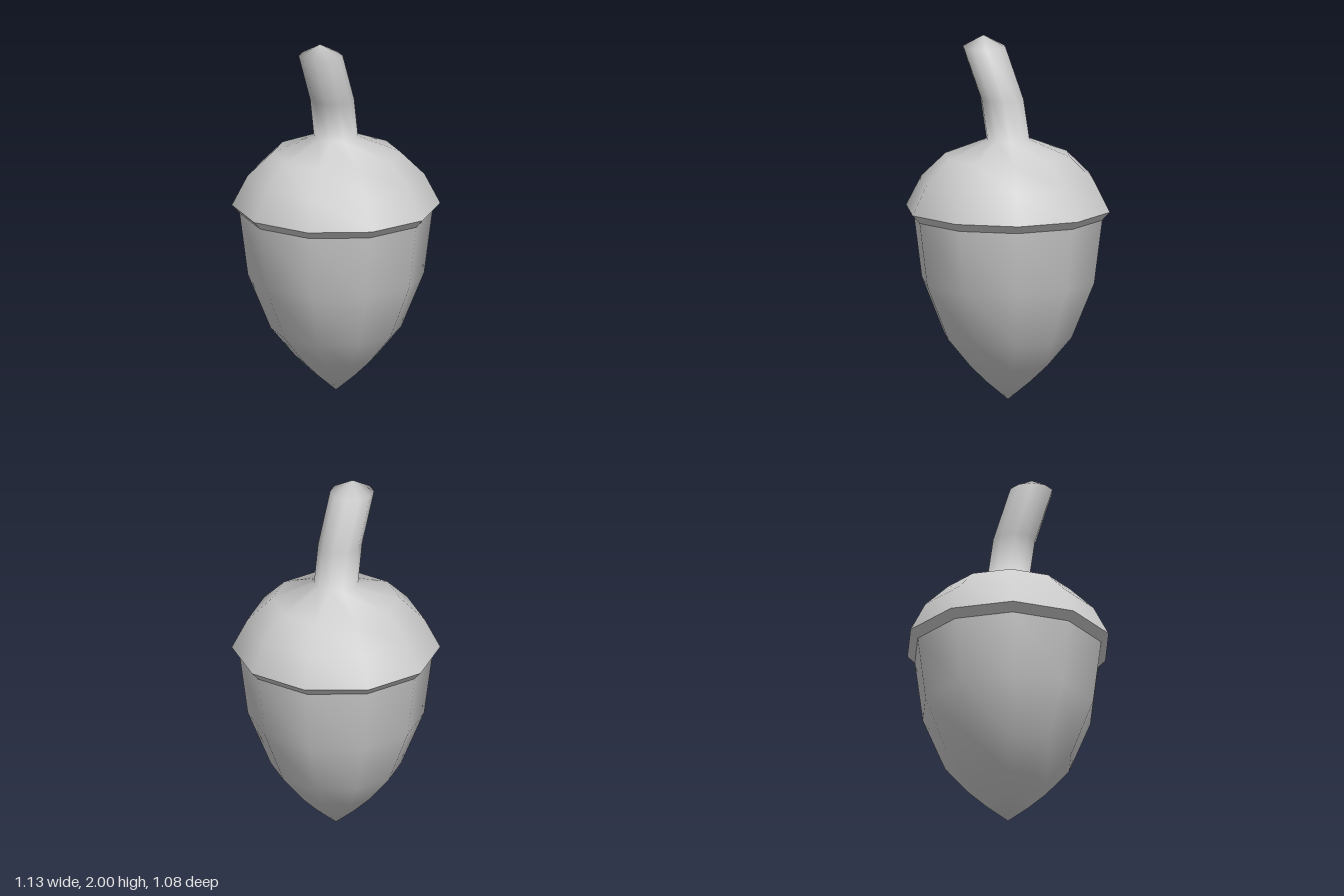
import * as THREE from 'three';
import { mergeVertices } from 'three/addons/utils/BufferGeometryUtils.js';

const SIDES = 10;
const material = new THREE.MeshStandardMaterial({ color: 0xcccccc });

// Ten-sided smooth shell from [radius, y, zShift] rings, bottom to top
function ringShell(name, rings) {
  const points = rings.map(([r, y]) => new THREE.Vector2(r, y));
  const lathe = new THREE.LatheGeometry(points, SIDES, Math.PI / 2);
  const pos = lathe.attributes.position;
  for (let i = 0; i < pos.count; i++) {
    pos.setZ(i, pos.getZ(i) + (rings[i % rings.length][2] ?? 0));
  }
  // Weld the seam and the poles so shading runs smoothly around
  lathe.deleteAttribute('uv');
  lathe.deleteAttribute('normal');
  const geometry = mergeVertices(lathe, 1e-4);
  geometry.computeVertexNormals();
  const mesh = new THREE.Mesh(geometry, material);
  mesh.name = name;
  return mesh;
}

export function createModel() {
  const acorn = new THREE.Group();
  acorn.name = 'acorn';

  // Pointed nut
  acorn.add(ringShell('nut', [
    [0, 0], [0.12, 0.1], [0.22, 0.195], [0.355, 0.355], [0.48, 0.66], [0.525, 1.01],
  ]));

  // Bevelled underside of the cap
  acorn.add(ringShell('capRim', [[0.525, 1.01], [0.567, 1.055]]));

  // Domed cap flowing into the stem, which bends forward to a blunt tip
  acorn.add(ringShell('capAndStem', [
    [0.567, 1.055], [0.482, 1.22], [0.348, 1.35], [0.12, 1.44],
    [0.12, 1.66, 0.038], [0.12, 1.935, 0.15], [0, 2, 0.155],
  ]));

  return acorn;
}
